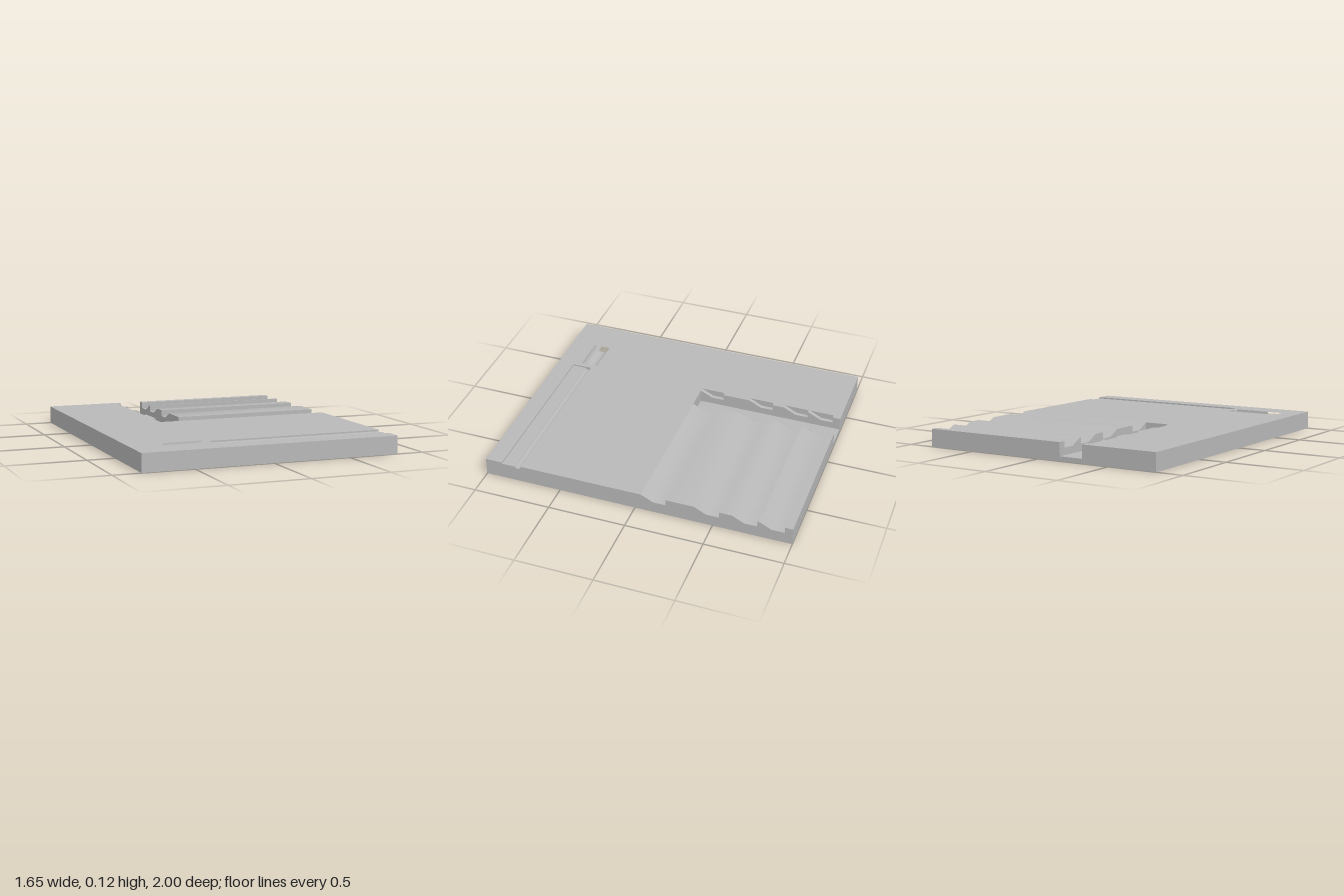
import * as THREE from 'three';
import { toCreasedNormals } from 'three/addons/utils/BufferGeometryUtils.js';

const W = 0.825, TOP = 0.115, FLOOR = 0.03, LOW = 0.075;
const CREASE = Math.PI / 5;
// Rear edge of each ramped groove; every groove is 0.16 wide
const GROOVES = [-0.2, -0.54, -0.78, -0.95], GW = 0.16;

const v = (x, y) => new THREE.Vector2(x, y);
const extrude = (shape, depth) =>
  new THREE.ExtrudeGeometry(shape, { depth, bevelEnabled: false, curveSegments: 12 });

// Slab from an [x, z] outline, between heights y0 and y1
function slab(outline, holes, y0, y1) {
  const shape = new THREE.Shape(outline.map(([x, z]) => v(x, -z)));
  for (const h of holes) shape.holes.push(new THREE.Path(h.map(([x, z]) => v(x, -z))));
  return extrude(shape, y1 - y0).rotateX(-Math.PI / 2).translate(0, y0, 0);
}

// Bar from a [z, y] section, running from x0 to x1
function bar(section, x0, x1) {
  const shape = new THREE.Shape(section.map(([z, y]) => v(-z, y)));
  return extrude(shape, x1 - x0).rotateY(Math.PI / 2).translate(x0, 0, 0);
}

const rect = (x0, x1, z0, z1) => [[x0, z0], [x1, z0], [x1, z1], [x0, z1]];

// Points on an arc; a half turn sweeps below the centre
function arc(cx, cy, rx, ry, from, to, n) {
  return Array.from({ length: n + 1 }, (_, i) => {
    const a = from + (to - from) * i / n;
    return [cx + rx * Math.cos(a), cy + ry * Math.sin(a)];
  });
}

export function createModel() {
  const group = new THREE.Group();
  const grey = new THREE.MeshStandardMaterial({ color: 0xb8b8b8 });
  grey.name = 'grey';
  const add = (name, geo) => {
    const mesh = new THREE.Mesh(toCreasedNormals(geo, CREASE), grey);
    mesh.name = name;
    group.add(mesh);
  };

  // Bottom layer with a square through hole and four small blind holes
  const pins = [[0.7, -0.73], [0.7, 0.65], [-0.555, 0.64], [-0.75, 0.64]]
    .map(([x, z]) => arc(x, z, 0.014, 0.014, 0, Math.PI * 2 * 15 / 16, 15));
  add('basePlate', slab(rect(-W, W, -1, 1), [rect(-0.705, -0.6, 0.73, 0.84), ...pins], 0, FLOOR));

  // Upper layer, leaving room for the channel, grooves, slot and small pockets
  const outline = [[-W, -1], [-0.32, -1]];
  for (const z of [...GROOVES].reverse()) {
    outline.push([-0.32, z], [-0.345, z], [-0.345, z + GW]);
    if (z !== GROOVES[0]) outline.push([-0.32, z + GW]);
  }
  outline.push([W, -0.04], [W, 0.76], [-0.32, 0.76], [-0.32, 0.89], [W, 0.89], [W, 1], [-W, 1]);
  add('topPlate', slab(outline, [rect(-0.705, -0.355, 0.73, 0.84)], FLOOR, TOP));

  // Bed of ramped grooves: ramp down, flat floor, upright step
  const ramp = (z) => [[z + GW, TOP], [z + GW / 2, LOW], [z, LOW], [z, TOP]];
  add('groovedBed', bar(
    [[-1, FLOOR], [-0.04, FLOOR], ...GROOVES.flatMap(ramp), [-1, TOP]], -0.16, W));

  // Short groove ends cut into the far wall of the channel
  for (const z of GROOVES) {
    add('grooveEnd', bar(
      [[z, FLOOR], [z + GW, FLOOR], ...ramp(z).slice(0, 3)], -0.345, -0.32));
  }

  // Shallow front ledge with a round gutter along its rear side
  const gutter = arc(0.78, 0.106, 0.02, 0.011, 0, -Math.PI, 10);
  add('frontLedge', bar(
    [[0.76, FLOOR], [0.89, FLOOR], [0.89, 0.106], ...gutter], -0.32, W));

  // Half-round cradle in the slot
  const cradle = arc(0.785, TOP, 0.055, 0.055, 0, -Math.PI, 20);
  add('slotCradle', bar([[0.73, FLOOR], [0.84, FLOOR], ...cradle], -0.6, -0.355));

  return group;
}
